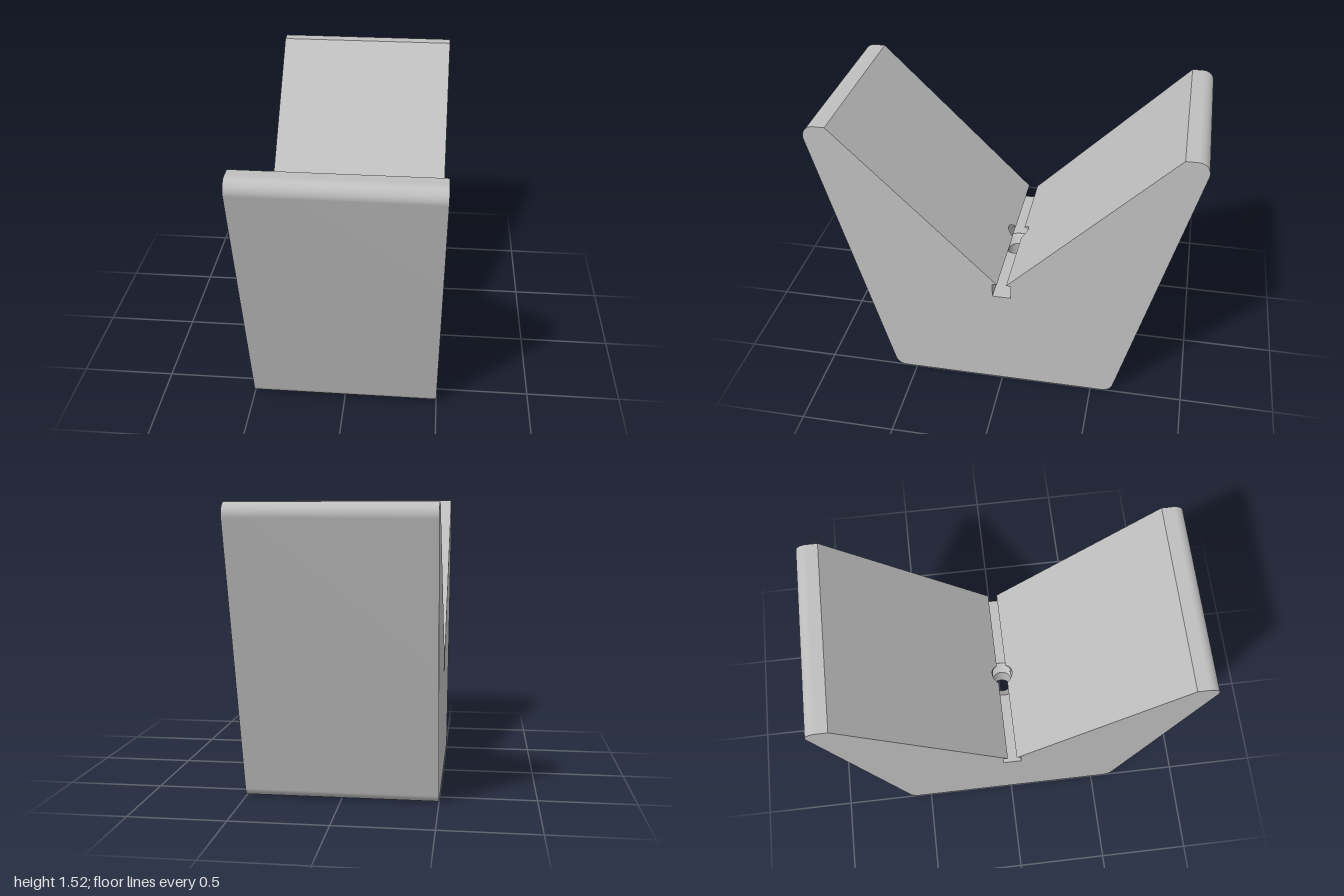
import * as THREE from 'three';

const V3 = (x, y, z) => new THREE.Vector3(x, y, z);
const W = 0.5;                                   // half width along x
const TOP = 1.52, LIP = 0.66, FLOOR = 0.58;      // heights
const NECK = 0.025, SLOT = 0.05, RIM = 0.88;     // half depths along z
const BORE = 0.057, SINK = 0.1, POCKET = 0.2, POCKET_TOP = 0.4;
const slopeY = z => LIP + (Math.abs(z) - NECK) * (TOP - LIP) / (RIM - NECK);

// points [u, v] on an arc
function arc(cu, cv, r, from, to, n) {
  return Array.from({ length: n + 1 }, (_, i) => {
    const t = from + (to - from) * i / n;
    return [cu + r * Math.cos(t), cv + r * Math.sin(t)];
  });
}

// band of quads between two rows of points, smooth along its length
function strip(a, b) {
  const pos = [], idx = [];
  a.forEach((p, i) => {
    pos.push(p.x, p.y, p.z, b[i].x, b[i].y, b[i].z);
    if (i) {
      const k = 2 * i - 2;
      idx.push(k, k + 1, k + 2, k + 1, k + 3, k + 2);
    }
  });
  const g = new THREE.BufferGeometry();
  g.setAttribute('position', new THREE.Float32BufferAttribute(pos, 3));
  g.setIndex(idx);
  g.computeVertexNormals();
  return g;
}

// face outlined in plan (x, z), raised to a height rule
function plate(pts, heightAt, up, hole) {
  const s = up ? -1 : 1;
  const toVec = p => new THREE.Vector2(p[0], p[1] * s);
  const shape = new THREE.Shape(pts.map(toVec));
  if (hole) shape.holes.push(new THREE.Path(hole.map(toVec)));
  const g = new THREE.ShapeGeometry(shape);
  g.rotateX(-s * -Math.PI / 2);
  const p = g.attributes.position;
  for (let i = 0; i < p.count; i++) p.setY(i, heightAt(p.getZ(i)));
  g.computeVertexNormals();
  return g;
}

export function createModel() {
  const model = new THREE.Group();
  const grey = new THREE.MeshStandardMaterial({ color: 0xbfbfbf, side: THREE.DoubleSide });
  grey.name = 'grey';
  const add = (parent, name, geo) => {
    const m = new THREE.Mesh(geo, grey);
    m.name = name;
    parent.add(m);
    return m;
  };

  // outer outline of one half, from the rim over the top and down to the base
  const tilt = Math.PI / 12;
  const outer = [
    [RIM, TOP],
    ...arc(0.94, 1.46, 0.06, Math.PI / 2, -tilt, 12),
    ...arc(0.565, 0.06, 0.06, -tilt, -Math.PI / 2, 10),
  ];
  const inner = [[SLOT, FLOOR], [SLOT, LIP], [NECK, LIP]];
  const half = [...inner, ...outer];

  // profile-shaped ends
  const outline = [...half, ...half.map(([z, y]) => [-z, y]).reverse()];
  const endShape = new THREE.Shape(outline.map(p => new THREE.Vector2(...p)));
  for (const s of [1, -1]) {
    const end = new THREE.ShapeGeometry(endShape);
    end.rotateY(s * Math.PI / 2);
    end.translate(s * W, 0, 0);
    add(model, s > 0 ? 'leftEnd' : 'rightEnd', end);
  }

  // front and back arms, the second turned half way round
  const a0 = Math.asin(NECK / BORE), a1 = Math.asin(SLOT / BORE);
  const notchX = BORE * Math.cos(a1);
  for (const name of ['frontArm', 'backArm']) {
    const arm = new THREE.Group();
    arm.name = name;
    arm.rotation.y = name === 'backArm' ? Math.PI : 0;
    model.add(arm);

    add(arm, 'outerWall', strip(outer.map(([z, y]) => V3(W, y, z)), outer.map(([z, y]) => V3(-W, y, z))));

    // sloping cradle face, notched by the bore
    add(arm, 'cradleFace', plate([
      [-W, NECK], [-W, RIM], [W, RIM], [W, NECK],
      ...arc(0, 0, BORE, a0, Math.PI - a0, 20),
    ], slopeY, true));

    // underside of the lip and the side of the slot
    for (const s of [1, -1]) {
      add(arm, 'lipUnderside', plate(
        [[W, NECK], [W, SLOT], ...arc(0, 0, BORE, a1, a0, 6)].map(([x, z]) => [x * s, z]),
        () => LIP, false));
      const xs = s > 0 ? [W, notchX] : [-notchX, -W];
      add(arm, 'slotSide', strip(xs.map(x => V3(x, LIP, SLOT)), xs.map(x => V3(x, FLOOR, SLOT))));
    }

    // bore cut through the lip
    for (const [from, to, low] of [[a0, a1, LIP], [a1, Math.PI - a1, FLOOR], [Math.PI - a1, Math.PI - a0, LIP]]) {
      const pts = arc(0, 0, BORE, from, to, 8);
      add(arm, 'lipBore', strip(pts.map(([x, z]) => V3(x, slopeY(z), z)), pts.map(([x, z]) => V3(x, low, z))));
    }

    // slot floor up to the countersink
    const f = Math.asin(SLOT / SINK);
    add(arm, 'slotFloor', plate([[W, -SLOT], [W, SLOT], ...arc(0, 0, SINK, f, -f, 10)], () => FLOOR, true));
  }

  // countersink and screw bore
  const ring = (r, y) => arc(0, 0, r, 0, Math.PI * 2, 40).map(([x, z]) => V3(x, y, z));
  const sinkBottom = FLOOR - (SINK - BORE);
  add(model, 'countersink', strip(ring(SINK, FLOOR), ring(BORE, sinkBottom)));
  add(model, 'screwBore', strip(ring(BORE, sinkBottom), ring(BORE, POCKET_TOP)));

  // base with its square pocket
  const rect = (x, z) => [[-x, -z], [x, -z], [x, z], [-x, z]];
  add(model, 'base', plate(rect(W, 0.565), () => 0, false, rect(POCKET, POCKET)));
  add(model, 'pocketCeiling', plate(rect(POCKET, POCKET), () => POCKET_TOP, false,
    arc(0, 0, BORE, 0, Math.PI * 2, 40).slice(0, -1)));
  for (let i = 0; i < 4; i++) {
    const xs = [POCKET, -POCKET];
    const wall = add(model, 'pocketWall', strip(xs.map(x => V3(x, POCKET_TOP, POCKET)), xs.map(x => V3(x, 0, POCKET))));
    wall.rotation.y = i * Math.PI / 2;
  }
  return model;
}
